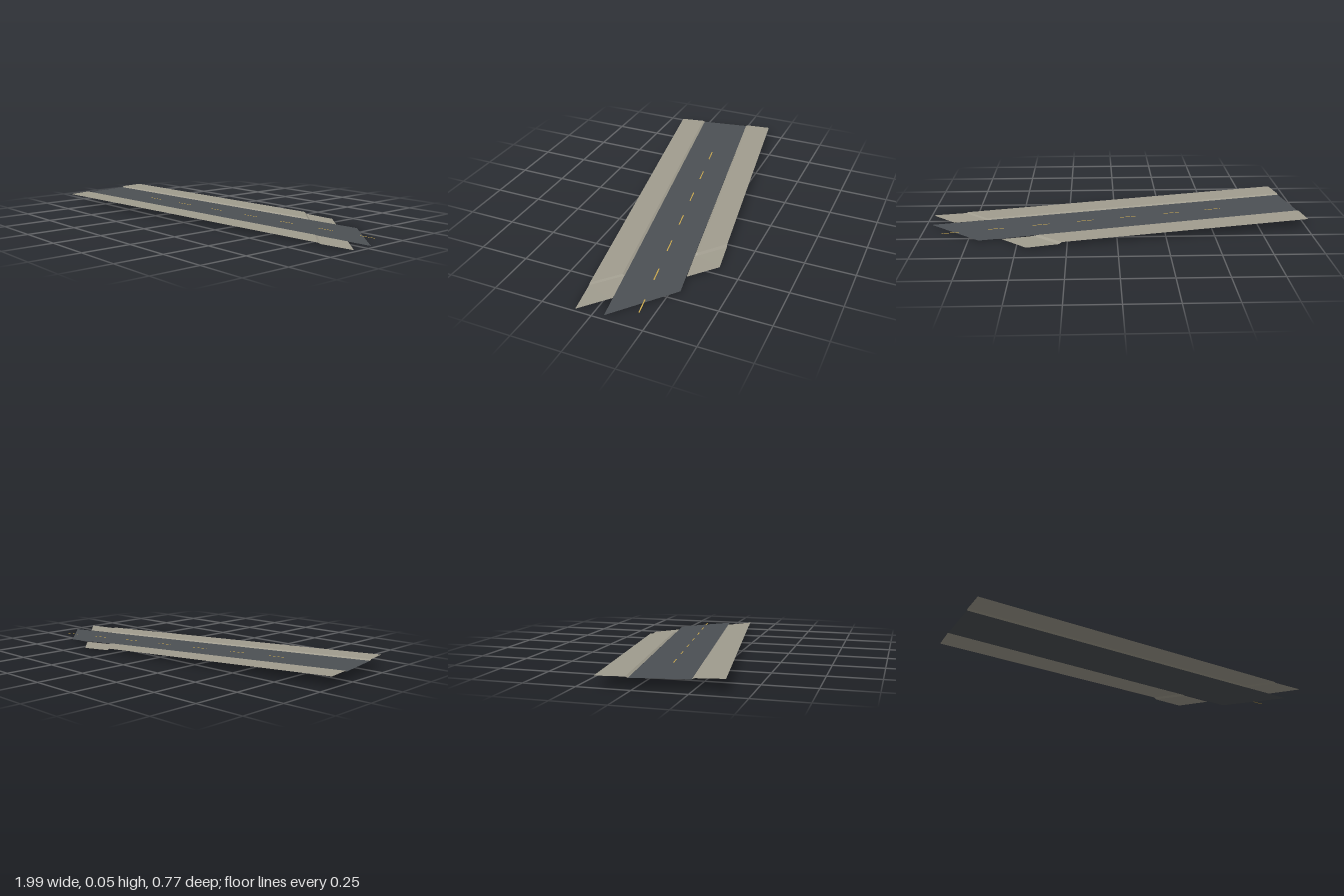
import * as THREE from 'three';

const material = (color) => new THREE.MeshStandardMaterial({ color, side: THREE.DoubleSide, flatShading: true });

// Distance along the slightly turned road axis, and the downhill slope along it
const along = (x, z) => x * 0.988 - z * 0.154;
const slopeY = (x, z, start) => start - 0.0249 * (along(x, z) + 0.97);

// Surface lofted through rows of [x, y, z] points
function loft(name, rows, mat) {
  const n = rows[0].length, index = [];
  for (let i = 0; i < rows.length - 1; i++) {
    for (let j = 0; j < n - 1; j++) {
      const a = i * n + j, b = a + n;
      index.push(a, a + 1, b, b, a + 1, b + 1);
    }
  }
  const geometry = new THREE.BufferGeometry();
  geometry.setAttribute('position', new THREE.Float32BufferAttribute(rows.flat(2), 3));
  geometry.setIndex(index);
  geometry.computeVertexNormals();
  const mesh = new THREE.Mesh(geometry, mat);
  mesh.name = name;
  return mesh;
}

export function createModel() {
  const group = new THREE.Group();
  group.name = 'roadSegment';
  const asphalt = material(0x4c5054);
  const concrete = material(0xa09c8e);
  const paint = material(0xc9a74c);

  // Roadway with a skewed far end
  const road = ([x, z]) => [x, slopeY(x, z, 0.0495), z];
  group.add(loft('roadway', [
    [[-0.98, -0.02], [-0.935, 0.245]].map(road),
    [[0.695, -0.293], [0.975, -0.05]].map(road),
  ], asphalt));

  // Raised verge: a curb lip at the road edge, dropping low near the skewed end.
  // Each station: outer [x, z], inner [x, z], and optional low heights.
  function verge(name, stations) {
    const rows = stations.map(([o, i, low]) => {
      const t = 0.08;
      const lip = [i[0] + (o[0] - i[0]) * t, i[1] + (o[1] - i[1]) * t];
      const yo = low ? low[0] : slopeY(...o, 0.055);
      const yl = low ? low[1] : slopeY(...lip, 0.055);
      const yi = low ? low[1] : slopeY(...i, 0.0495);
      return [[o[0], yo, o[1]], [lip[0], yl, lip[1]], [i[0], yi, i[1]]];
    });
    // keep every surface facing up
    if (name === 'frontVerge') rows.forEach((r) => r.reverse());
    group.add(loft(name, rows, concrete));
  }
  verge('backVerge', [
    [[-1, -0.165], [-0.98, -0.02]],
    [[0.275, -0.363], [0.409, -0.247]],
    [[0.29, -0.366], [0.424, -0.249], [0.013, 0.011]],
    [[0.45, -0.39], [0.581, -0.275], [0.006, 0.006]],
  ]);
  verge('frontVerge', [
    [[-0.91, 0.385], [-0.935, 0.245]],
    [[0.805, 0.114], [0.678, -0.005]],
    [[0.82, 0.111], [0.693, -0.007], [0.007, 0.009]],
    [[0.99, 0.085], [0.857, -0.032], [0.005, 0.005]],
  ]);

  // Dashed centre line, the last dash running past the road end
  for (let k = 0; k < 7; k++) {
    const x = -0.575 + k * 0.231, z = 0.052 - k * 0.037;
    const row = (px, pz) => [-0.003, 0.003].map((w) => [px, slopeY(px, pz, 0.0503), pz + w]);
    group.add(loft('centreDash', [row(x, z), row(x + 0.088, z - 0.0137)], paint));
  }
  return group;
}
